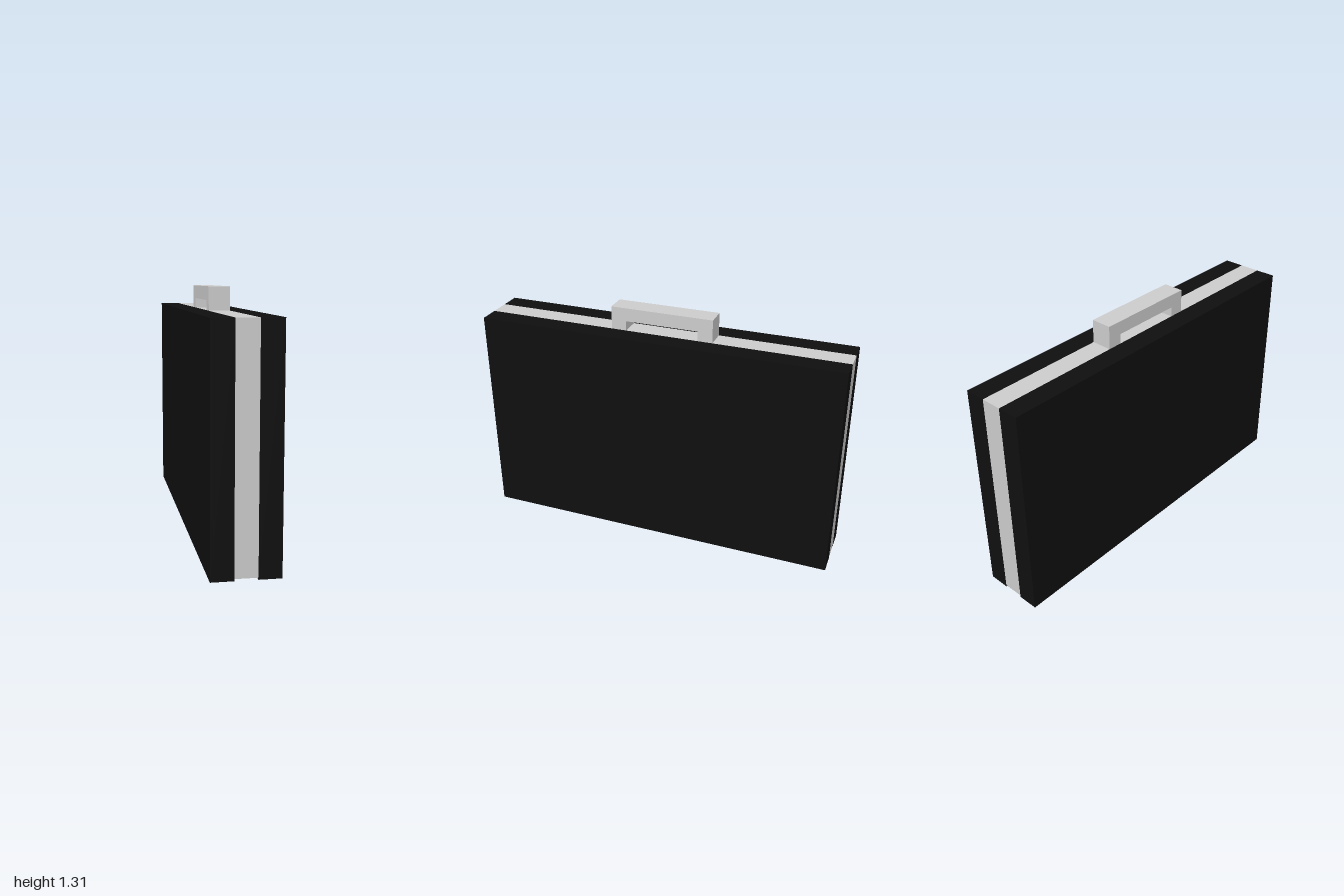
import * as THREE from 'three';

export function createModel() {
  const model = new THREE.Group();
  const grey = new THREE.MeshStandardMaterial({ color: 0xcccccc, flatShading: true });
  const black = new THREE.MeshStandardMaterial({ color: 0x0f0f0f, flatShading: true });

  const HALF_WIDTH = 0.168, BAND = 0.056, HEIGHT = 1.187, LENGTH = 2, RECESS = 0.01;

  // Box given by its centre x and its bottom y
  function addBox(name, material, [w, h, d], [x, y, z]) {
    const mesh = new THREE.Mesh(new THREE.BoxGeometry(w, h, d), material);
    mesh.name = name;
    mesh.position.set(x, y + h / 2, z);
    model.add(mesh);
  }

  // Two dark shells, one on each side
  for (const [name, side] of [['leftShell', 1], ['rightShell', -1]]) {
    addBox(name, black, [HALF_WIDTH - BAND, HEIGHT, LENGTH], [side * (HALF_WIDTH + BAND) / 2, 0, 0]);
  }

  // Grey band between the shells, raised a little off the ground
  addBox('centreBand', grey, [BAND * 2, HEIGHT - RECESS, LENGTH], [0, RECESS, 0]);

  // Dark strip joining the shells underneath
  addBox('bottomHinge', black, [BAND * 2, 0.004, LENGTH - 0.02], [0, RECESS - 0.001, 0]);

  // Carrying handle: an upside-down U extruded across the band
  const outer = 0.281, inner = 0.2, gripBottom = 1.24, gripTop = 1.312;
  const profile = new THREE.Shape([
    [-outer, HEIGHT], [-inner, HEIGHT], [-inner, gripBottom], [inner, gripBottom],
    [inner, HEIGHT], [outer, HEIGHT], [outer, gripTop], [-outer, gripTop],
  ].map(([z, y]) => new THREE.Vector2(z, y)));
  const handleGeometry = new THREE.ExtrudeGeometry(profile, { depth: BAND * 2, bevelEnabled: false });
  handleGeometry.translate(0, 0, -BAND).rotateY(Math.PI / 2);
  const handle = new THREE.Mesh(handleGeometry, grey);
  handle.name = 'handle';
  handle.position.z = -0.003;
  model.add(handle);

  return model;
}
